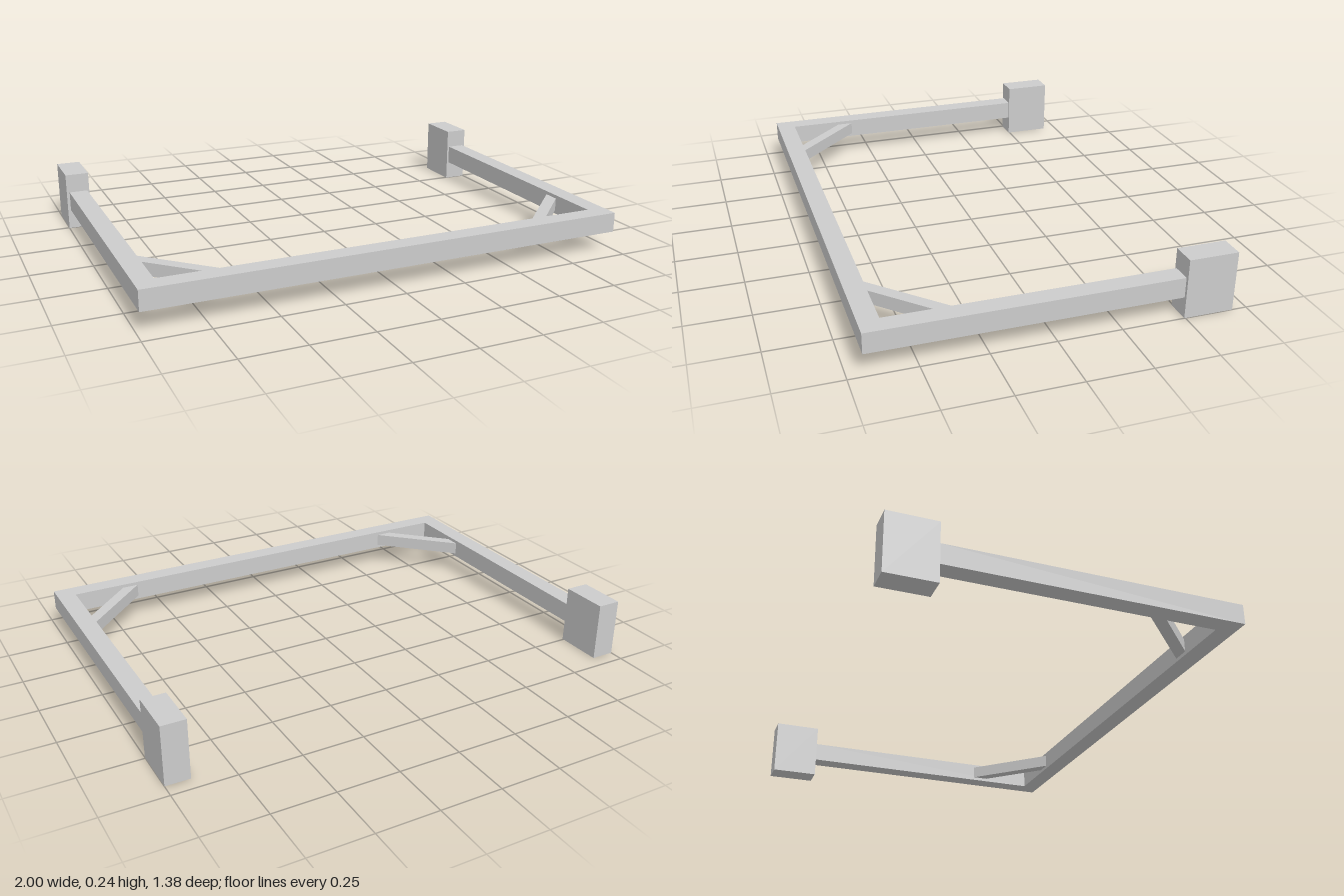
import * as THREE from 'three';

const material = new THREE.MeshStandardMaterial({ color: 0xcccccc, flatShading: true });

// Extrude a plan outline of [x, z] points between two heights
function planSlab(name, points, y0, y1) {
  const shape = new THREE.Shape(points.map(([x, z]) => new THREE.Vector2(x, -z)));
  const geometry = new THREE.ExtrudeGeometry(shape, { depth: y1 - y0, bevelEnabled: false });
  geometry.rotateX(-Math.PI / 2);
  geometry.translate(0, y0, 0);
  const mesh = new THREE.Mesh(geometry, material);
  mesh.name = name;
  return mesh;
}

export function createModel() {
  const group = new THREE.Group();
  group.name = 'frame';

  const outer = 0.988, inner = 0.912;   // side rail faces
  const front = 0.692, frontIn = 0.614; // front rail faces
  const blockFront = -0.495, back = -0.692;

  // U-shaped rail: front bar and two side arms in one piece
  group.add(planSlab('rail', [
    [-outer, blockFront], [-outer, front], [outer, front], [outer, blockFront],
    [inner, blockFront], [inner, frontIn], [-inner, frontIn], [-inner, blockFront],
  ], 0.081, 0.162));

  for (const [side, s] of [['left', 1], ['right', -1]]) {
    // Diagonal corner brace, cut flush against both rails
    group.add(planSlab(side + 'Brace', [
      [s * inner, 0.333], [s * inner, 0.4], [s * 0.698, frontIn], [s * 0.631, frontIn],
    ], 0.095, 0.148));

    // End block at the back of the arm
    const block = new THREE.Mesh(new THREE.BoxGeometry(0.097, 0.24, blockFront - back), material);
    block.position.set(s * 0.9515, 0.12, (blockFront + back) / 2);
    block.name = side + 'EndBlock';
    group.add(block);
  }
  return group;
}
